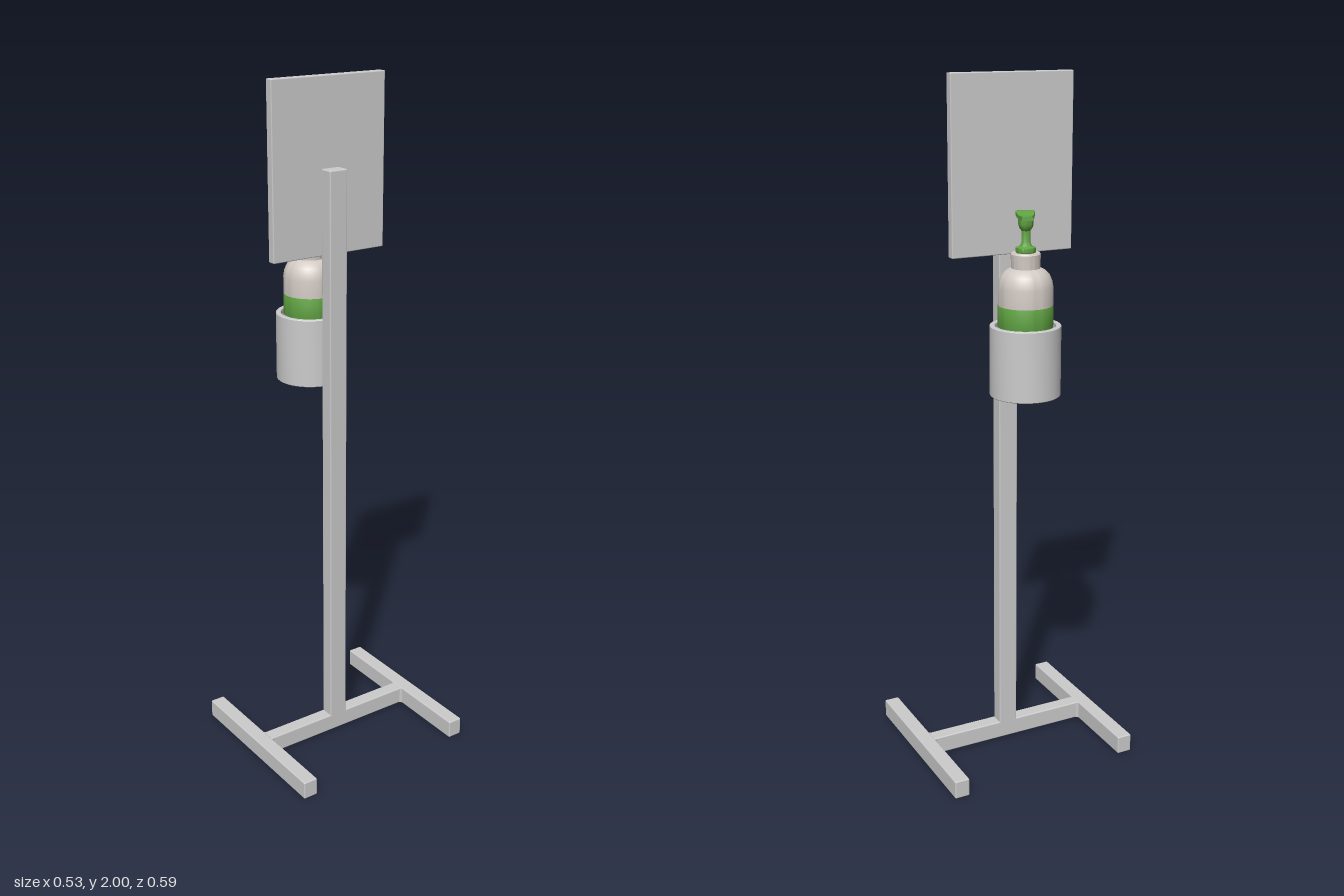
import * as THREE from 'three';
import { RoundedBoxGeometry } from 'three/addons/geometries/RoundedBoxGeometry.js';
import { toCreasedNormals } from 'three/addons/utils/BufferGeometryUtils.js';

const metal = new THREE.MeshStandardMaterial({ color: 0xcccccc });
const plastic = new THREE.MeshStandardMaterial({ color: 0xd2cac4 });
const green = new THREE.MeshStandardMaterial({ color: 0x62a644 });

export function createModel() {
  const group = new THREE.Group();

  function add(name, geometry, material, x = 0, y = 0, z = 0) {
    const mesh = new THREE.Mesh(geometry, material);
    mesh.name = name;
    mesh.position.set(x, y, z);
    group.add(mesh);
    return mesh;
  }
  // Softly rounded bar given by its extents
  function bar(name, [x0, x1], [y0, y1], [z0, z1], r = 0.004) {
    add(name, new RoundedBoxGeometry(x1 - x0, y1 - y0, z1 - z0, 2, r), metal,
      (x0 + x1) / 2, (y0 + y1) / 2, (z0 + z1) / 2);
  }
  const axisX = -0.122;
  function lathe(name, points, material) {
    const profile = points.map(([r, y]) => new THREE.Vector2(r, y));
    add(name, toCreasedNormals(new THREE.LatheGeometry(profile, 48), 0.6), material, axisX);
  }

  // Stand: two feet, crossbar, post and sign panel
  bar('backFoot', [-0.268, 0.266], [0, 0.055], [-0.295, -0.25]);
  bar('frontFoot', [-0.268, 0.266], [0, 0.055], [0.247, 0.292]);
  bar('crossbar', [-0.022, 0.02], [0.001, 0.054], [-0.255, 0.252]);
  bar('post', [-0.022, 0.02], [0.01, 1.755], [-0.03, 0.028]);
  bar('signPanel', [-0.048, -0.023], [1.513, 2], [-0.185, 0.184], 0.003);

  // Small fillets where the crossbar meets the feet
  const fillet = new THREE.Shape();
  fillet.moveTo(0, 0);
  fillet.lineTo(0.008, 0);
  fillet.quadraticCurveTo(0, 0, 0, 0.008);
  const filletGeometry = new THREE.ExtrudeGeometry(fillet, { depth: 0.05, bevelEnabled: false, curveSegments: 5 });
  filletGeometry.rotateX(-Math.PI / 2);
  [[0.02, 0.247, 0], [-0.022, 0.247, Math.PI / 2], [-0.022, -0.25, Math.PI], [0.02, -0.25, -Math.PI / 2]]
    .forEach(([x, z, turn]) => { add('fillet', filletGeometry, metal, x, 0.002, z).rotation.y = turn; });

  // Cup holder with a floor
  lathe('cupHolder', [[0, 1.13], [0.097, 1.13], [0.099, 1.132], [0.099, 1.327], [0.097, 1.329],
    [0.086, 1.329], [0.084, 1.327], [0.084, 1.142], [0, 1.142]], metal);

  // Bottle body, label band, shoulder and cap
  lathe('bottleBody', [[0, 1.143], [0.07, 1.143], [0.076, 1.15], [0.076, 1.325]], plastic);
  lathe('labelBand', [[0.076, 1.325], [0.0765, 1.327], [0.0765, 1.383], [0.076, 1.385]], green);
  lathe('bottleShoulder', [[0.076, 1.385], [0.076, 1.435], [0.073, 1.452], [0.066, 1.468],
    [0.056, 1.479], [0.044, 1.486], [0.036, 1.488]], plastic);
  lathe('bottleCap', [[0.034, 1.484], [0.04, 1.486], [0.041, 1.525], [0.038, 1.529], [0, 1.529]], plastic);

  // Pump collar and stem
  lathe('pumpStem', [[0.026, 1.528], [0.028, 1.532], [0.027, 1.543], [0.018, 1.546], [0.012, 1.556],
    [0.012, 1.588], [0.018, 1.596], [0.021, 1.606], [0.021, 1.632], [0, 1.632]], green);

  // Pump nozzle: a flat bar with varying width and a gentle wave
  const length = 0.164;
  const nozzle = new THREE.BoxGeometry(length, 0.011, 1, 32, 1, 6);
  const halfWidths = [0.0145, 0.0125, 0.014, 0.019, 0.0235, 0.0255, 0.025, 0.022, 0.018];
  const widthCurve = new THREE.SplineCurve(halfWidths.map((w, i) => new THREE.Vector2(i / 8, w)));
  const p = nozzle.attributes.position;
  for (let i = 0; i < p.count; i++) {
    const t = THREE.MathUtils.clamp(p.getX(i) / length + 0.5, 0, 1);
    p.setZ(i, p.getZ(i) * 2 * widthCurve.getPoint(t).y);
    p.setY(i, p.getY(i) + 0.003 * Math.cos(t * Math.PI * 3));
  }
  add('pumpNozzle', toCreasedNormals(nozzle, 0.6), green, -0.152, 1.634, -0.0165).rotation.y = -0.42;

  return group;
}
